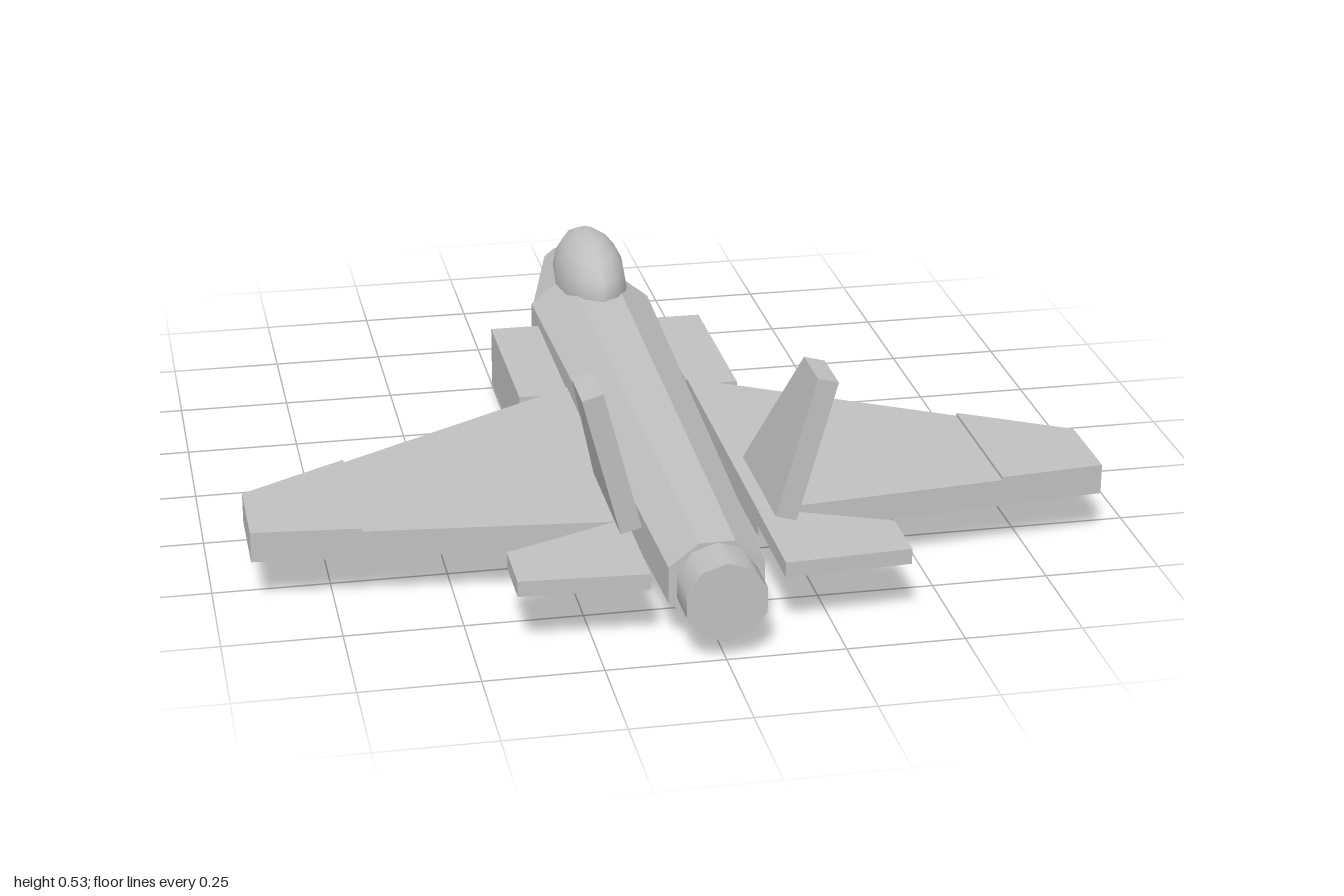
import * as THREE from 'three';

const grey = new THREE.MeshStandardMaterial({ color: 0xc0c0c0 });
grey.name = 'airframe grey';

// Flat-shaded solid between two matching convex rings of [x, y, z] points
function loft(a, b) {
  const tris = [];
  const n = a.length;
  for (let i = 0; i < n; i++) {
    const j = (i + 1) % n;
    tris.push([a[i], a[j], b[j]], [a[i], b[j], b[i]]);
    if (i > 0 && i < n - 1) tris.push([a[0], a[i + 1], a[i]], [b[0], b[i], b[i + 1]]);
  }
  // Signed volume tells whether the faces point outward
  let volume = 0;
  for (const [p, q, r] of tris) {
    volume += new THREE.Vector3(...p).dot(new THREE.Vector3(...q).cross(new THREE.Vector3(...r)));
  }
  if (volume < 0) tris.forEach((t) => t.reverse());
  const geometry = new THREE.BufferGeometry();
  geometry.setAttribute('position', new THREE.Float32BufferAttribute(tris.flat(2), 3));
  geometry.computeVertexNormals();
  return geometry;
}

// Flat-topped octagon section of the body
const AXIS_Y = 0.14;
function section(z, scale) {
  const corners = [[0.054, 0.127], [0.143, 0.057], [0.143, -0.057], [0.054, -0.127],
    [-0.054, -0.127], [-0.143, -0.057], [-0.143, 0.057], [-0.054, 0.127]];
  return corners.map(([x, y]) => [x * scale, AXIS_Y + y * scale, z]);
}

// Horizontal plate from an [x, z] outline, on the given side
function plate(outline, bottom, top, side) {
  const ring = (y) => outline.map(([x, z]) => [x * side, y, z]);
  return loft(ring(bottom), ring(top));
}

export function createModel() {
  const model = new THREE.Group();
  model.name = 'jet';
  const add = (name, geometry) => {
    const mesh = new THREE.Mesh(geometry, grey);
    mesh.name = name;
    model.add(mesh);
    return mesh;
  };

  // Body, with the nose towards -z
  add('fuselage', loft(section(-0.57, 1), section(0.9, 0.7)));
  add('noseCone', loft(section(-0.57, 0.97), section(-1, 0.28)));

  const nozzle = add('exhaustNozzle', new THREE.CylinderGeometry(0.0875, 0.0875, 0.12, 10));
  nozzle.rotation.x = Math.PI / 2;
  nozzle.position.set(0, AXIS_Y, 0.94);

  const canopy = add('canopy', new THREE.SphereGeometry(1, 12, 8));
  canopy.scale.set(0.085, 0.11, 0.19);
  canopy.position.set(0, 0.26, -0.57);

  for (const side of [1, -1]) {
    const label = side > 0 ? 'left' : 'right';

    const intake = add(label + 'Intake', new THREE.BoxGeometry(0.114, 0.14, 0.43));
    intake.position.set(side * 0.197, 0.1, -0.275);

    // Wing with a slightly raised tip panel
    add(label + 'Wing', plate(
      [[0.14, -0.08], [0.69, 0.248], [0.69, 0.607], [0.14, 0.66]], 0.118, 0.178, side));
    add(label + 'WingTip', plate(
      [[0.69, 0.248], [0.92, 0.385], [0.92, 0.585], [0.69, 0.607]], 0.118, 0.185, side));

    add(label + 'Tailplane', plate(
      [[0.14, 0.645], [0.41, 0.76], [0.41, 0.9], [0.14, 0.915]], 0.143, 0.177, side));

    // Fin leaning outward: [inner x, inner y, z] corners, offset by its thickness
    const inner = [[0.14, 0.237, 0.51], [0.22, 0.541, 0.71], [0.22, 0.541, 0.83], [0.14, 0.237, 0.82]];
    const ring = (dx, dy) => inner.map(([x, y, z]) => [side * (x + dx), y + dy, z]);
    add(label + 'Fin', loft(ring(0, 0), ring(0.044, -0.012)));
  }
  return model;
}
